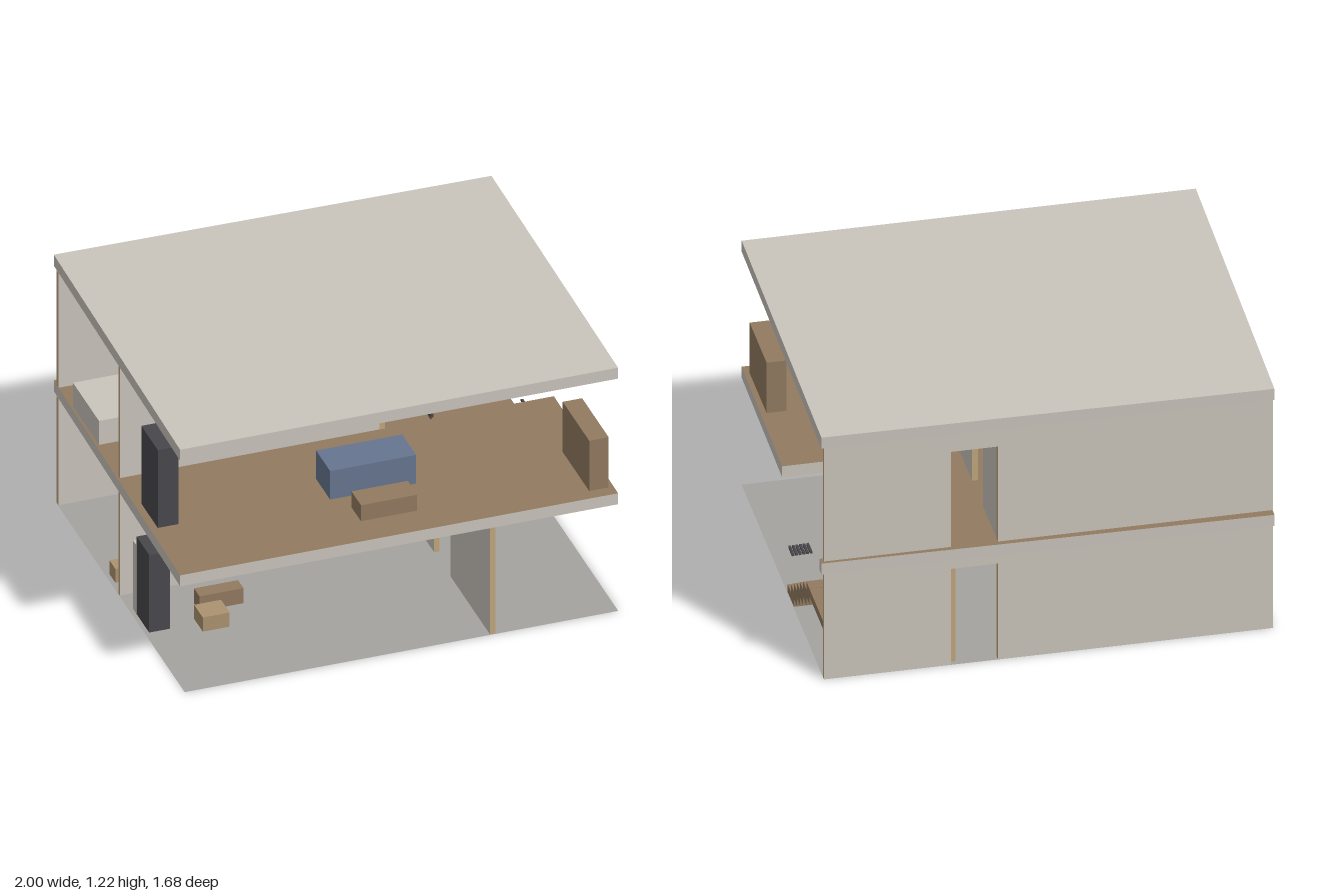
import * as THREE from 'three';

const mat = (name, color) => {
  const m = new THREE.MeshStandardMaterial({ color });
  m.name = name;
  return m;
};

export function createModel() {
  const plaster = mat('plaster', 0xc9c4bb);
  const cutEdge = mat('wallEdge', 0xc0a57c);
  const wood = mat('wood', 0x917a5f);
  const paleWood = mat('paleWood', 0xab9270);
  const dark = mat('darkGrey', 0x48474c);
  const blue = mat('blueFabric', 0x66758f);
  const concrete = mat('concrete', 0xa5a39e);
  concrete.side = THREE.DoubleSide;

  const house = new THREE.Group();
  house.name = 'house';
  const group = (name) => {
    const g = new THREE.Group();
    g.name = name;
    house.add(g);
    return g;
  };
  const add = (parent, name, geometry, material) => {
    const m = new THREE.Mesh(geometry, material);
    m.name = name;
    parent.add(m);
    return m;
  };
  // box given by its limits on each axis
  const box = (parent, name, material, [x0, x1], [y0, y1], [z0, z1]) => {
    const m = add(parent, name, new THREE.BoxGeometry(x1 - x0, y1 - y0, z1 - z0), material);
    m.position.set((x0 + x1) / 2, (y0 + y1) / 2, (z0 + z1) / 2);
    return m;
  };
  const shapeOf = (pts) => new THREE.Shape(pts.map(([a, b]) => new THREE.Vector2(a, b)));

  // horizontal plate from an (x, z) outline
  const plate = (name, outline, y0, y1, material) => {
    const g = new THREE.ExtrudeGeometry(shapeOf(outline.map(([x, z]) => [x, -z])),
      { depth: y1 - y0, bevelEnabled: false });
    g.rotateX(-Math.PI / 2);
    g.translate(0, y0, 0);
    return add(house, name, g, material);
  };

  // wall outline with door notches cut from the floor up; faces plaster, edges tan
  const wallGeometry = (a0, a1, y0, y1, doors, doorTop, thickness) => {
    const pts = [[a0, y0]];
    for (const [d0, d1] of doors) pts.push([d0, y0], [d0, doorTop], [d1, doorTop], [d1, y0]);
    pts.push([a1, y0], [a1, y1], [a0, y1]);
    return new THREE.ExtrudeGeometry(shapeOf(pts), { depth: thickness, bevelEnabled: false });
  };
  const walls = group('walls');
  const wallAlongX = (name, x0, x1, y0, y1, z0, z1, doors = [], top = 0) => {
    const g = wallGeometry(x0, x1, y0, y1, doors, top, z1 - z0);
    g.translate(0, 0, z0);
    add(walls, name, g, [plaster, cutEdge]);
  };
  const wallAlongZ = (name, zFront, zBack, y0, y1, x0, x1, doors = [], top = 0) => {
    const g = wallGeometry(-zFront, -zBack, y0, y1, doors.map(([f, b]) => [-f, -b]), top, x1 - x0);
    g.rotateY(Math.PI / 2);
    g.translate(x0, 0, 0);
    add(walls, name, g, [plaster, cutEdge]);
  };

  // ground, upper floor with stairwell, roof
  const ground = add(house, 'ground', new THREE.PlaneGeometry(1.965, 1.635), concrete);
  ground.rotation.x = -Math.PI / 2;
  ground.position.set(0.003, 0, 0.018);
  const roofOutline = [[-1, 0.835], [0.985, 0.835], [1, -0.815], [-0.975, -0.84]];
  const floorOutline = [[-1, 0.835], [0.985, 0.835], [0.992, 0], [0.432, 0],
    [0.432, -0.775], [0.999, -0.775], [1, -0.815], [-0.975, -0.84]];
  plate('upperFloorSlab', floorOutline, 0.535, 0.586, plaster);
  plate('upperFloorBoards', floorOutline, 0.586, 0.59, [wood, plaster]);
  plate('roof', roofOutline, 1.165, 1.22, plaster);

  // outer back walls and inner partitions on both storeys
  for (const [level, y0, y1, top, xWall] of [['lower', 0.001, 0.535, 0.48, 0.405], ['upper', 0.59, 1.165, 1.065, 0.2]]) {
    wallAlongX(level + 'BackWall', -0.977, 0.985, y0, y1, -0.8, -0.775, [[0.225, 0.43]], top);
    wallAlongX(level + 'Partition', -0.977, xWall + 0.026, y0, y1, -0.015, 0.004);
    const doors = level === 'lower' ? [[0.33, 0.125], [-0.29, -0.5]] : [[-0.29, -0.5]];
    wallAlongZ(level + 'SideWall', level === 'lower' ? 0.832 : 0.006, -0.775, y0, y1, xWall, xWall + 0.025, doors, top);
  }

  // staircase: two flights meeting at a landing
  const stairs = group('stairs');
  for (let i = 0; i < 7; i++) {
    const z = -0.07 - i * 0.0614, top = 0.04 + i * 0.0393;
    box(stairs, 'lowerStep', wood, [0.74, 0.983], [Math.max(0.001, top - 0.078), top], [z - 0.0614, z]);
  }
  for (let i = 0; i < 8; i++) {
    const z = -i * 0.0625, top = 0.588 - i * 0.0393;
    box(stairs, 'upperStep', wood, [0.442, 0.69], [top - 0.078, top], [z - 0.0625, z]);
  }
  box(stairs, 'landing', wood, [0.442, 0.983], [0.235, 0.275], [-0.775, -0.5]);

  // stepped handrails and the stairwell screen
  const rails = group('railings');
  for (let i = 0; i < 6; i++) {
    const zl = -0.072 - i * 0.0715, yl = 0.23 + i * 0.0452;
    box(rails, 'lowerHandrail', dark, [0.97, 0.981], [yl - 0.005, yl + 0.005], [zl - 0.073, zl]);
    const zu = -0.017 - i * 0.08, yu = 0.767 - i * 0.0522;
    box(rails, 'upperHandrail', dark, [0.676, 0.687], [yu - 0.005, yu + 0.005], [zu - 0.082, zu]);
  }
  box(rails, 'stairwellScreen', dark, [0.437, 0.451], [0.59, 0.813], [-0.774, -0.012]);

  // upper storey furniture
  const up = group('upperFurniture');
  box(up, 'wardrobe', dark, [-0.96, -0.866], [0.59, 0.98], [0.23, 0.44]);
  box(up, 'sofa', blue, [-0.19, 0.2], [0.59, 0.733], [0.293, 0.47]);
  box(up, 'coffeeTable', wood, [-0.125, 0.13], [0.59, 0.67], [0.56, 0.68]);
  box(up, 'sideboard', wood, [0.875, 0.963], [0.59, 0.842], [0.44, 0.777]);
  box(up, 'bed', plaster, [-0.97, -0.73], [0.59, 0.71], [-0.61, -0.28]);

  // lower storey furniture
  const low = group('lowerFurniture');
  box(low, 'cabinet', dark, [-0.96, -0.866], [0.001, 0.39], [0.17, 0.33]);
  box(low, 'fridge', plaster, [-0.96, -0.825], [0.001, 0.345], [0.125, 0.163]);
  box(low, 'stool', paleWood, [-0.742, -0.62], [0.001, 0.072], [0.29, 0.4]);
  box(low, 'bench', wood, [-0.7, -0.5], [0.001, 0.076], [0.17, 0.24]);
  box(low, 'backStool', paleWood, [-0.96, -0.86], [0.001, 0.07], [-0.175, -0.1]);
  box(low, 'backCabinet', dark, [-0.53, -0.3], [0.001, 0.39], [-0.14, -0.03]);
  box(low, 'backBed', plaster, [-0.56, -0.3], [0.001, 0.12], [-0.77, -0.6]);

  return house;
}
